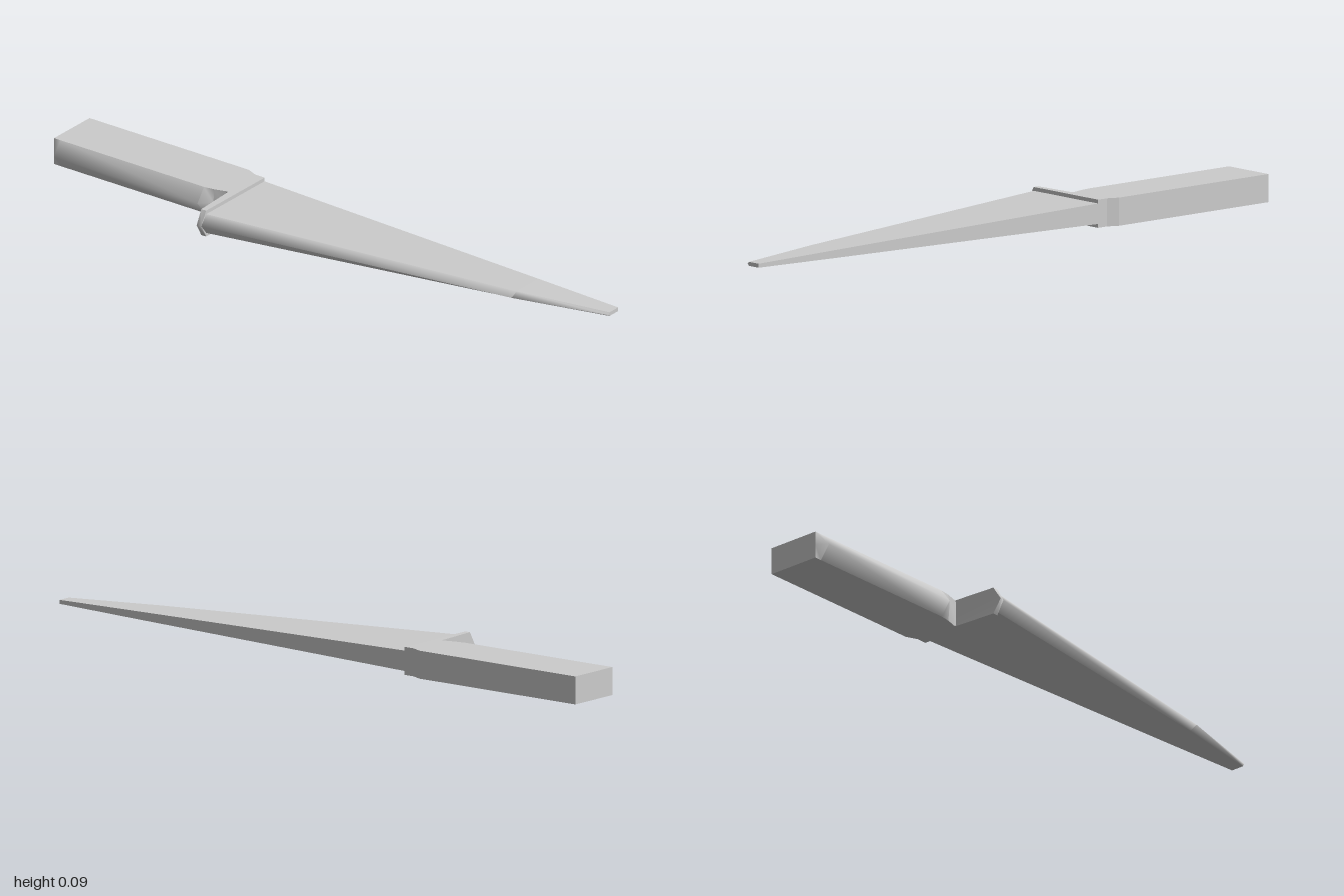
import * as THREE from 'three';

const MID = 0.0425; // height of the centre plane

// Five-point ring: back top, front top, cutting edge, front bottom, back bottom.
// x may differ at the back, front and edge so an end can be slanted.
function ring({ x, xf = x, xe = xf, back, front, edge, half }) {
  return [
    [x, MID + half, back], [xf, MID + half, front], [xe, MID, edge],
    [xf, MID - half, front], [x, MID - half, back],
  ];
}

// Sides are separate strips with hard borders; the edge strip is smooth across its ridge
const STRIPS = [[0, 1], [1, 2, 3], [3, 4], [4, 0]];

function loft(name, sections, material) {
  const rings = sections.map(ring);
  const pos = [], index = [];
  for (let i = 0; i < rings.length - 1; i++) {
    for (const strip of STRIPS) {
      const base = pos.length / 3;
      for (const k of strip) pos.push(...rings[i][k], ...rings[i + 1][k]);
      for (let s = 0; s < strip.length - 1; s++) {
        const a = base + s * 2, d = a + 1, b = a + 2, c = a + 3;
        index.push(a, b, c, a, c, d);
      }
    }
  }
  // End caps
  [rings[0].slice().reverse(), rings[rings.length - 1]].forEach((cap) => {
    const base = pos.length / 3;
    cap.forEach((p) => pos.push(...p));
    for (let s = 1; s < 4; s++) index.push(base, base + s, base + s + 1);
  });
  const geometry = new THREE.BufferGeometry();
  geometry.setAttribute('position', new THREE.Float32BufferAttribute(pos, 3));
  geometry.setIndex(index);
  geometry.computeVertexNormals();
  const mesh = new THREE.Mesh(geometry, material);
  mesh.name = name;
  return mesh;
}

export function createModel() {
  const group = new THREE.Group();
  group.name = 'knife';
  const material = new THREE.MeshStandardMaterial({ color: 0xcccccc });

  // Handle with a ridged underside that pinches in at both ends
  const half = 0.0425;
  group.add(loft('handle', [
    { x: -1, back: -0.165, front: 0.01, edge: 0.011, half },
    { x: -0.975, back: -0.165, front: 0.01, edge: 0.042, half },
    { x: -0.44, back: -0.165, front: 0.01, edge: 0.042, half },
    { x: -0.405, back: -0.165, front: 0.005, edge: 0.01, half },
    { x: -0.37, back: -0.15, front: -0.005, edge: -0.004, half },
    { x: -0.36, back: -0.15, front: -0.005, edge: -0.004, half },
  ], material));

  // Bolster, a thick slanted plate at the heel of the blade
  group.add(loft('bolster', [
    { x: -0.37, xf: -0.353, xe: -0.35, back: -0.15, front: 0.138, edge: 0.165, half },
    { x: -0.335, back: -0.15, front: 0.138, edge: 0.162, half },
  ], material));

  // Blade, tapering in width and thickness to a blunt tip
  group.add(loft('blade', [
    { x: -0.335, back: -0.149, front: 0.137, edge: 0.162, half: 0.031 },
    { x: 0.7, back: -0.134, front: -0.025, edge: 0, half: 0.012 },
    { x: 1, back: -0.129, front: -0.086, edge: -0.08, half: 0.006 },
  ], material));

  return group;
}
